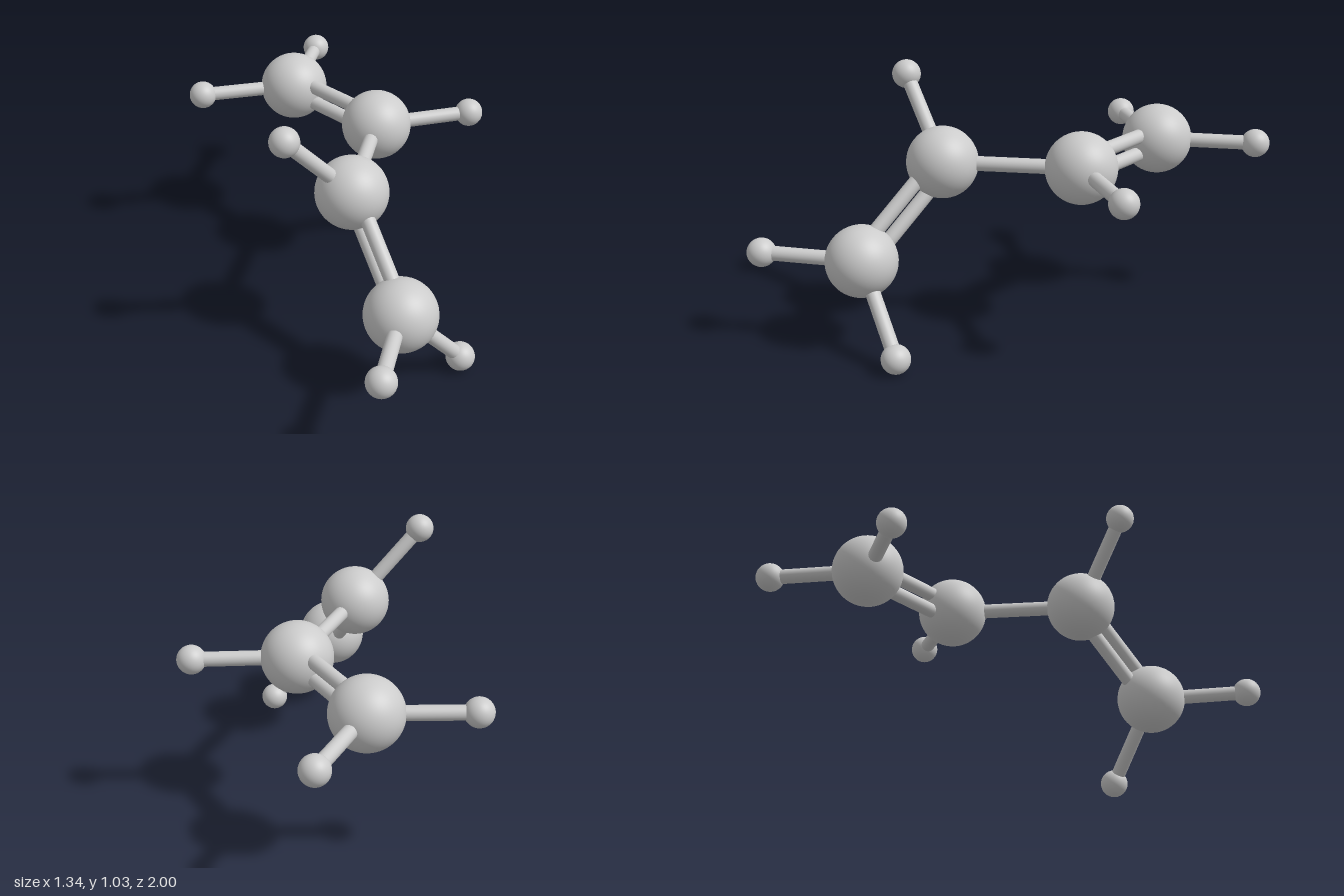
import * as THREE from 'three';

const CARBON_R = 0.141, HYDROGEN_R = 0.057, BOND_R = 0.029, DOUBLE_OFFSET = 0.037;
const UP = new THREE.Vector3(0, 1, 0);

export function createModel() {
  const model = new THREE.Group();
  model.name = 'moleculeModel';
  const material = new THREE.MeshStandardMaterial({ color: 0xcccccc });
  const v = (x, y, z) => new THREE.Vector3(x, y, z);

  const carbons = [
    v(-0.253, 0.685, -0.545), v(0.157, 0.685, -0.27),
    v(0.157, 0.685, 0.27), v(0.396, 0.354, 0.545),
  ];
  // Each hydrogen with the index of the carbon it hangs on
  const hydrogens = [
    [0, v(-0.615, 0.685, -0.378)], [0, v(-0.241, 0.685, -0.943)],
    [1, v(0.517, 0.685, -0.452)], [2, v(-0.055, 0.975, 0.45)],
    [3, v(0.39, 0.365, 0.943)], [3, v(0.611, 0.058, 0.373)],
  ];

  function add(geometry, name, position) {
    const mesh = new THREE.Mesh(geometry, material);
    mesh.name = name;
    mesh.position.copy(position);
    model.add(mesh);
    return mesh;
  }

  // Rod between two atom centres, optionally shifted sideways
  function bond(a, b, name, shift = v(0, 0, 0)) {
    const dir = b.clone().sub(a);
    const rod = new THREE.CylinderGeometry(BOND_R, BOND_R, dir.length(), 24);
    const middle = a.clone().lerp(b, 0.5).add(shift);
    add(rod, name, middle).quaternion.setFromUnitVectors(UP, dir.normalize());
  }

  // Two parallel rods stacked in the vertical plane through the bond
  function doubleBond(a, b) {
    const dir = b.clone().sub(a).normalize();
    const side = UP.clone().addScaledVector(dir, -UP.dot(dir)).normalize();
    for (const s of [1, -1]) {
      bond(a, b, s > 0 ? 'doubleBondUpper' : 'doubleBondLower', side.clone().multiplyScalar(s * DOUBLE_OFFSET));
    }
  }

  // Atoms
  const carbonBall = new THREE.SphereGeometry(CARBON_R, 48, 32);
  const hydrogenBall = new THREE.SphereGeometry(HYDROGEN_R, 32, 24);
  carbons.forEach((p, i) => add(carbonBall, `carbonAtom${i + 1}`, p));
  hydrogens.forEach(([c, p], i) => {
    add(hydrogenBall, `hydrogenAtom${i + 1}`, p);
    bond(carbons[c], p, `hydrogenBond${i + 1}`);
  });

  // Carbon backbone
  doubleBond(carbons[0], carbons[1]);
  bond(carbons[1], carbons[2], 'singleBond');
  doubleBond(carbons[2], carbons[3]);

  return model;
}
